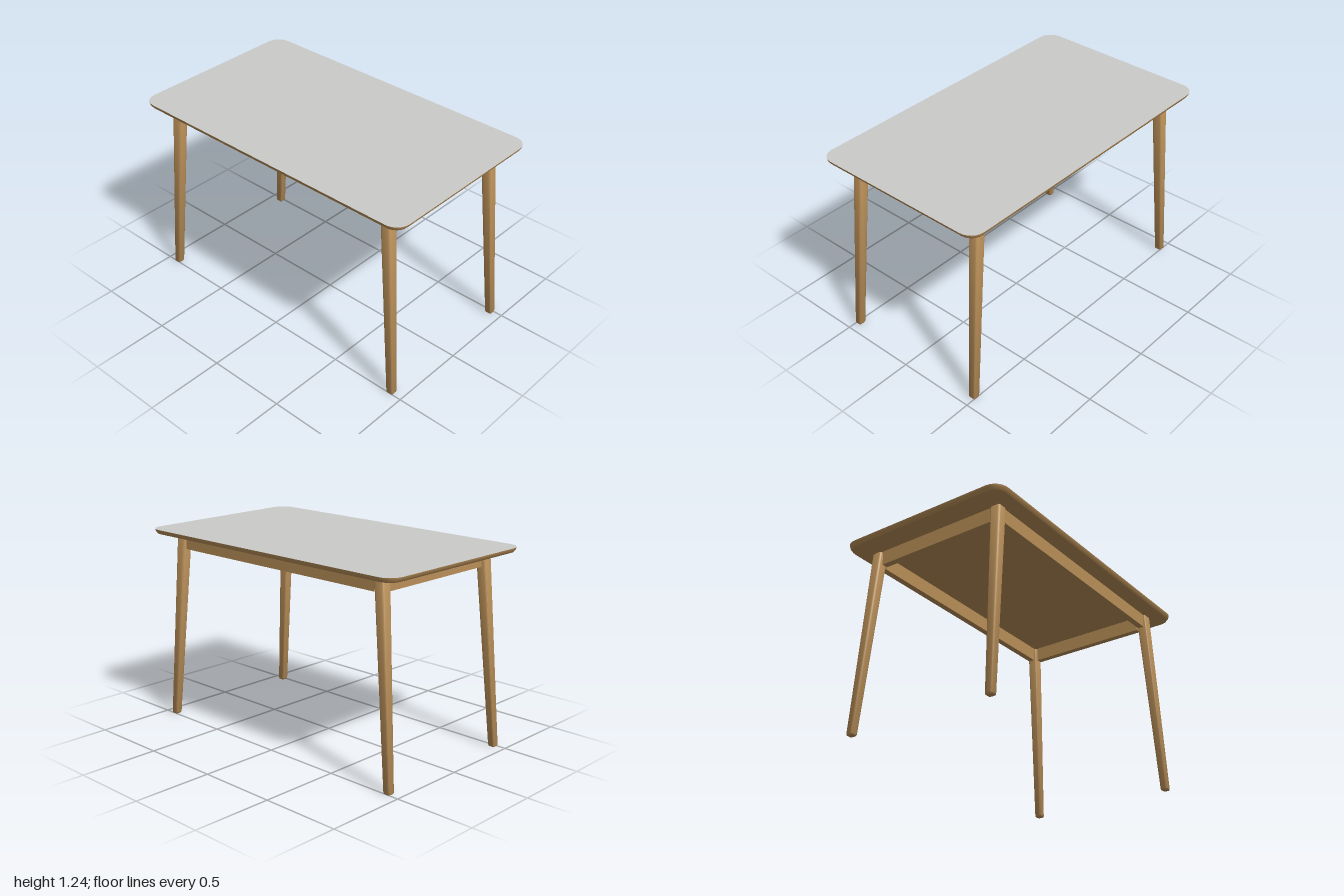
import * as THREE from 'three';
import { toCreasedNormals } from 'three/addons/utils/BufferGeometryUtils.js';

const TOP_Y = 1.235, UNDER_Y = 1.206, APRON_Y = 1.115;
const ARC_STEPS = 6;

// Rounded rectangle at one height: centre, half sizes and corner radius
function ring({ x = 0, z = 0, hx, hz, r, y }) {
  const points = [];
  const corners = [[1, 1], [-1, 1], [-1, -1], [1, -1]];
  corners.forEach(([sx, sz], k) => {
    for (let i = 0; i <= ARC_STEPS; i++) {
      const a = (k + i / ARC_STEPS) * Math.PI / 2;
      points.push(new THREE.Vector3(
        x + sx * (hx - r) + r * Math.cos(a), y, z + sz * (hz - r) + r * Math.sin(a)));
    }
  });
  return points;
}

// Skin through sections listed from bottom to top
function loft(sections, capBottom = true, capTop = true) {
  const rings = sections.map(ring);
  const n = rings[0].length, pos = [];
  const tri = (...v) => v.forEach((p) => pos.push(p.x, p.y, p.z));
  const middle = (s) => new THREE.Vector3(s.x ?? 0, s.y, s.z ?? 0);
  const last = rings.length - 1;
  for (let j = 0; j < n; j++) {
    const k = (j + 1) % n;
    for (let i = 0; i < last; i++) {
      const lo = rings[i], hi = rings[i + 1];
      tri(lo[j], hi[j], lo[k]);
      tri(lo[k], hi[j], hi[k]);
    }
    if (capBottom) tri(middle(sections[0]), rings[0][j], rings[0][k]);
    if (capTop) tri(middle(sections[last]), rings[last][k], rings[last][j]);
  }
  const geometry = new THREE.BufferGeometry();
  geometry.setAttribute('position', new THREE.Float32BufferAttribute(pos, 3));
  return toCreasedNormals(geometry, 0.6);
}

export function createModel() {
  const table = new THREE.Group();
  table.name = 'table';

  const wood = new THREE.MeshStandardMaterial({ color: 0xb98f58 });
  wood.name = 'wood';
  const grey = new THREE.MeshStandardMaterial({ color: 0xcbcbc9 });
  grey.name = 'light grey laminate';

  const add = (name, geometry, material) => {
    const mesh = new THREE.Mesh(geometry, material);
    mesh.name = name;
    table.add(mesh);
    return mesh;
  };

  // Tabletop: wooden slab with an undercut edge, and a grey surface
  const rim = { hx: 1, hz: 0.582, r: 0.09, y: TOP_Y };
  add('tabletopSlab', loft([
    { hx: 0.983, hz: 0.567, r: 0.075, y: UNDER_Y },
    { hx: 0.997, hz: 0.579, r: 0.087, y: 1.222 },
    rim,
  ], true, false), wood);
  add('tabletopSurface', loft([rim], false, true), grey);

  // Splayed, tapering legs with softened ends
  for (const sx of [1, -1]) {
    for (const sz of [1, -1]) {
      const section = (y, inset = 0) => {
        const t = y / UNDER_Y;
        const mix = (foot, head) => THREE.MathUtils.lerp(foot, head, t);
        return {
          x: sx * mix(0.922, 0.819), z: sz * mix(0.484, 0.445),
          hx: mix(0.024, 0.034) - inset, hz: mix(0.024, 0.034) - inset,
          r: mix(0.012, 0.014) - inset, y,
        };
      };
      const name = (sz > 0 ? 'front' : 'back') + (sx > 0 ? 'Left' : 'Right') + 'Leg';
      add(name, loft([
        section(0, 0.007), section(0.003, 0.003), section(0.009),
        section(UNDER_Y - 0.008), section(UNDER_Y, 0.005),
      ]), wood);
    }
  }

  // Apron rails between the legs
  const height = UNDER_Y - APRON_Y, midY = (UNDER_Y + APRON_Y) / 2;
  for (const s of [1, -1]) {
    add(s > 0 ? 'frontApron' : 'backApron', new THREE.BoxGeometry(1.564, height, 0.04), wood)
      .position.set(0, midY, s * 0.445);
    add(s > 0 ? 'leftApron' : 'rightApron', new THREE.BoxGeometry(0.04, height, 0.81), wood)
      .position.set(s * 0.819, midY, 0);
  }

  return table;
}
